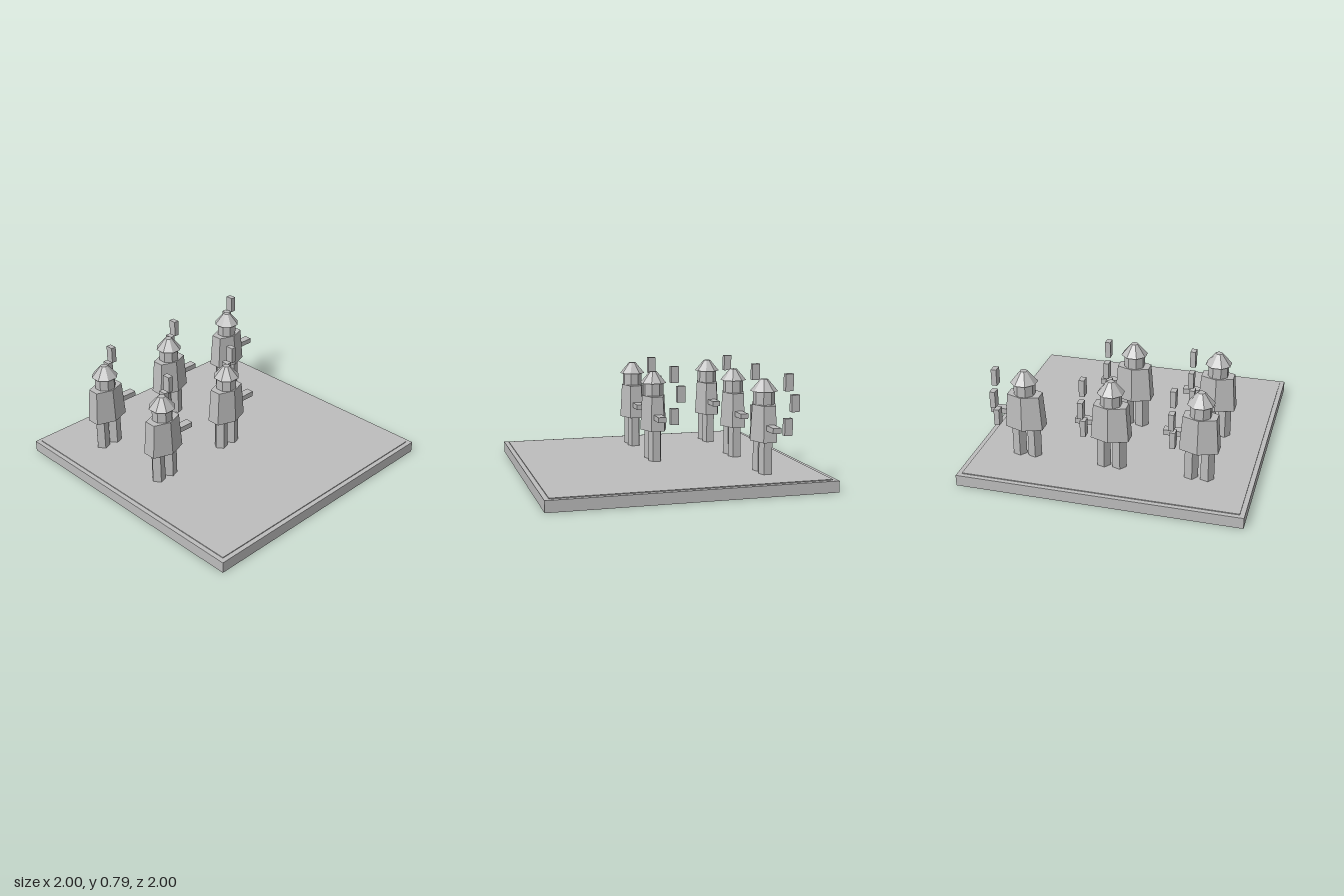
import * as THREE from 'three';

const grey = new THREE.MeshStandardMaterial({ color: 0xbdbdbd, flatShading: true });
grey.name = 'plain grey';

function add(parent, name, geometry, x, y, z) {
  const mesh = new THREE.Mesh(geometry, grey);
  mesh.name = name;
  mesh.position.set(x, y, z);
  parent.add(mesh);
  return mesh;
}

// Faceted prism or tapered prism standing between two heights
function prism(parent, name, rTop, rBottom, y0, y1, sides, start = 0, x = 0) {
  const g = new THREE.CylinderGeometry(rTop, rBottom, y1 - y0, sides, 1, false, start);
  return add(parent, name, g, x, (y0 + y1) / 2, 0);
}

// Box given by its limits on each axis
function box(parent, name, x0, x1, y0, y1, z0, z1) {
  const g = new THREE.BoxGeometry(x1 - x0, y1 - y0, z1 - z0);
  return add(parent, name, g, (x0 + x1) / 2, (y0 + y1) / 2, (z0 + z1) / 2);
}

function createFigure() {
  const figure = new THREE.Group();

  // Five-sided legs
  for (const [name, x] of [['rightLeg', -0.056], ['leftLeg', 0.056]]) {
    prism(figure, name, 0.05, 0.05, 0.083, 0.315, 5, -Math.PI / 2, x);
  }

  // Flattened six-sided coat
  prism(figure, 'torso', 0.133, 0.155, 0.314, 0.565, 6).scale.z = 0.635;

  // Eight-sided head and conical hat, flat side forward
  prism(figure, 'head', 0.075, 0.075, 0.565, 0.656, 8, Math.PI / 8);
  prism(figure, 'hat', 0.026, 0.096, 0.655, 0.738, 8, Math.PI / 8);

  // Outstretched arm
  box(figure, 'arm', 0.1, 0.25, 0.398, 0.436, -0.029, 0.029);

  // Separate blocks floating behind the arm
  for (const [name, y, z] of [['lowerBlock', 0.425, -0.113], ['middleBlock', 0.586, -0.161], ['upperBlock', 0.731, -0.113]]) {
    box(figure, name, 0.142, 0.18, y - 0.059, y + 0.059, z - 0.029, z + 0.029);
  }
  return figure;
}

export function createModel() {
  const model = new THREE.Group();
  model.name = 'figuresOnBase';

  // Square base with a thin raised plate
  box(model, 'base', -1, 1, 0, 0.08, -1, 1);
  box(model, 'basePlate', -0.967, 0.967, 0.08, 0.086, -0.967, 0.967);

  // Five figures: three in the back row, two in the middle
  const spots = [[-0.62, -0.595], [0, -0.595], [0.62, -0.595], [-0.62, 0.025], [0, 0.025]];
  spots.forEach(([x, z], i) => {
    const figure = createFigure();
    figure.name = `figure${i + 1}`;
    figure.position.set(x, 0, z);
    model.add(figure);
  });
  return model;
}
